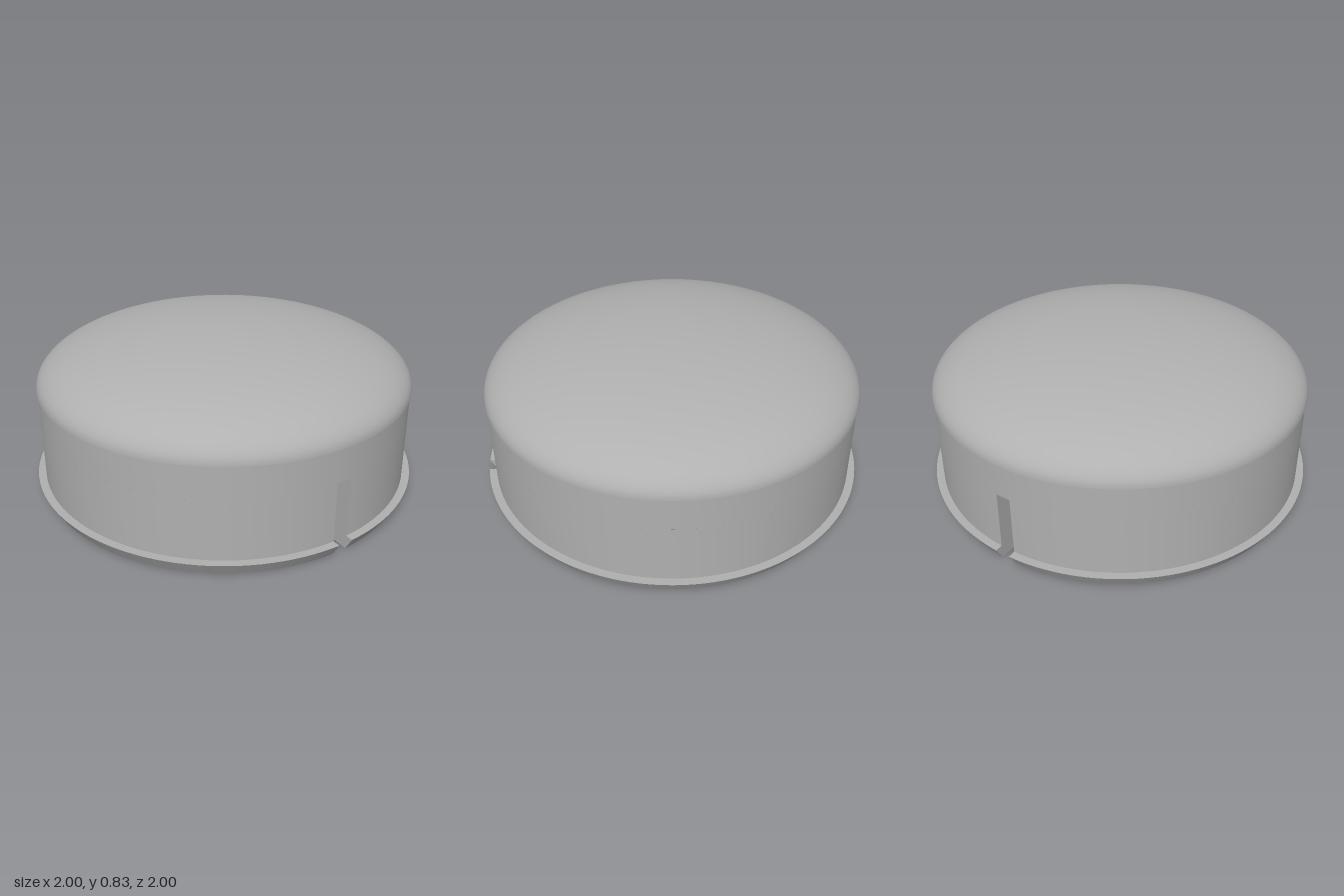
import * as THREE from 'three';
import { toCreasedNormals } from 'three/addons/utils/BufferGeometryUtils.js';

const INNER = 0.835, OUTER = 0.96, DOME = 0.966, RIM = 1;
const SLOT_TOP = 0.38, CEILING = 0.56, SHOULDER = 0.555, TOP = 0.833;
const SLOT_WIDTH = 0.076, SLOT_ANGLE = THREE.MathUtils.degToRad(15.2);

const grey = new THREE.MeshStandardMaterial({ color: 0xb0b0b0 });
grey.name = 'grey plastic';

const vectors = (pts) => pts.map(([r, y]) => new THREE.Vector2(r, y));

// Revolve a profile; start and end angles may depend on the radius (parallel slot sides)
function sweep(profile, segments, start = () => 0, end = () => Math.PI * 2) {
  const geo = new THREE.LatheGeometry(vectors(profile), segments);
  const pos = geo.attributes.position, uv = geo.attributes.uv;
  for (let i = 0; i < pos.count; i++) {
    const r = Math.hypot(pos.getX(i), pos.getZ(i));
    const a = THREE.MathUtils.lerp(start(r), end(r), uv.getX(i));
    pos.setXYZ(i, r * Math.sin(a), pos.getY(i), r * Math.cos(a));
  }
  return toCreasedNormals(geo, 0.5);
}

function add(parent, name, geometry) {
  const mesh = new THREE.Mesh(geometry, grey);
  mesh.name = name;
  parent.add(mesh);
}

export function createModel() {
  const cap = new THREE.Group();
  cap.name = 'cap';

  // Domed lid with a small overhang
  const dome = [[OUTER, SHOULDER]];
  for (let i = 0; i <= 32; i++) {
    const t = (i / 32) * Math.PI / 2;
    dome.push([i === 32 ? 0 : DOME * Math.cos(t), SHOULDER + (TOP - SHOULDER) * Math.sin(t)]);
  }
  add(cap, 'dome', sweep(dome, 128));

  // Uncut upper wall and flat ceiling inside
  add(cap, 'upperWall', sweep([[OUTER, SLOT_TOP], [OUTER, SHOULDER]], 128));
  add(cap, 'innerCeiling', sweep([[0, CEILING], [INNER, CEILING], [INNER, SLOT_TOP]], 128));

  // Slotted lower wall with the flared snap rim, as two equal halves
  const wall = [[INNER, SLOT_TOP], [INNER, 0], [OUTER, 0], [RIM, 0.07], [OUTER, 0.07], [OUTER, SLOT_TOP]];
  const half = SLOT_WIDTH / 2;
  const delta = (r) => Math.asin(half / r);
  const slotStart = (r) => Math.PI / 2 - delta(r);
  const wallStart = (r) => Math.PI / 2 + delta(r);
  const wallEnd = (r) => Math.PI * 1.5 - delta(r);

  for (let k = 0; k < 2; k++) {
    const side = new THREE.Group();
    side.name = k ? 'backHalf' : 'frontHalf';
    side.rotation.y = SLOT_ANGLE - Math.PI / 2 + k * Math.PI;
    add(side, 'lowerWall', sweep(wall, 64, wallStart, wallEnd));
    add(side, 'slotRoof', sweep([[INNER, SLOT_TOP], [OUTER, SLOT_TOP]], 4, slotStart, wallStart));
    // Flat cut faces at both ends of the half
    for (const s of [1, -1]) {
      const outline = wall.map(([r, y]) => [s * Math.sqrt(r * r - half * half), y]);
      const face = new THREE.ShapeGeometry(new THREE.Shape(vectors(outline)));
      add(side, 'slotSide', face.translate(0, 0, -half));
    }
    cap.add(side);
  }
  return cap;
}
